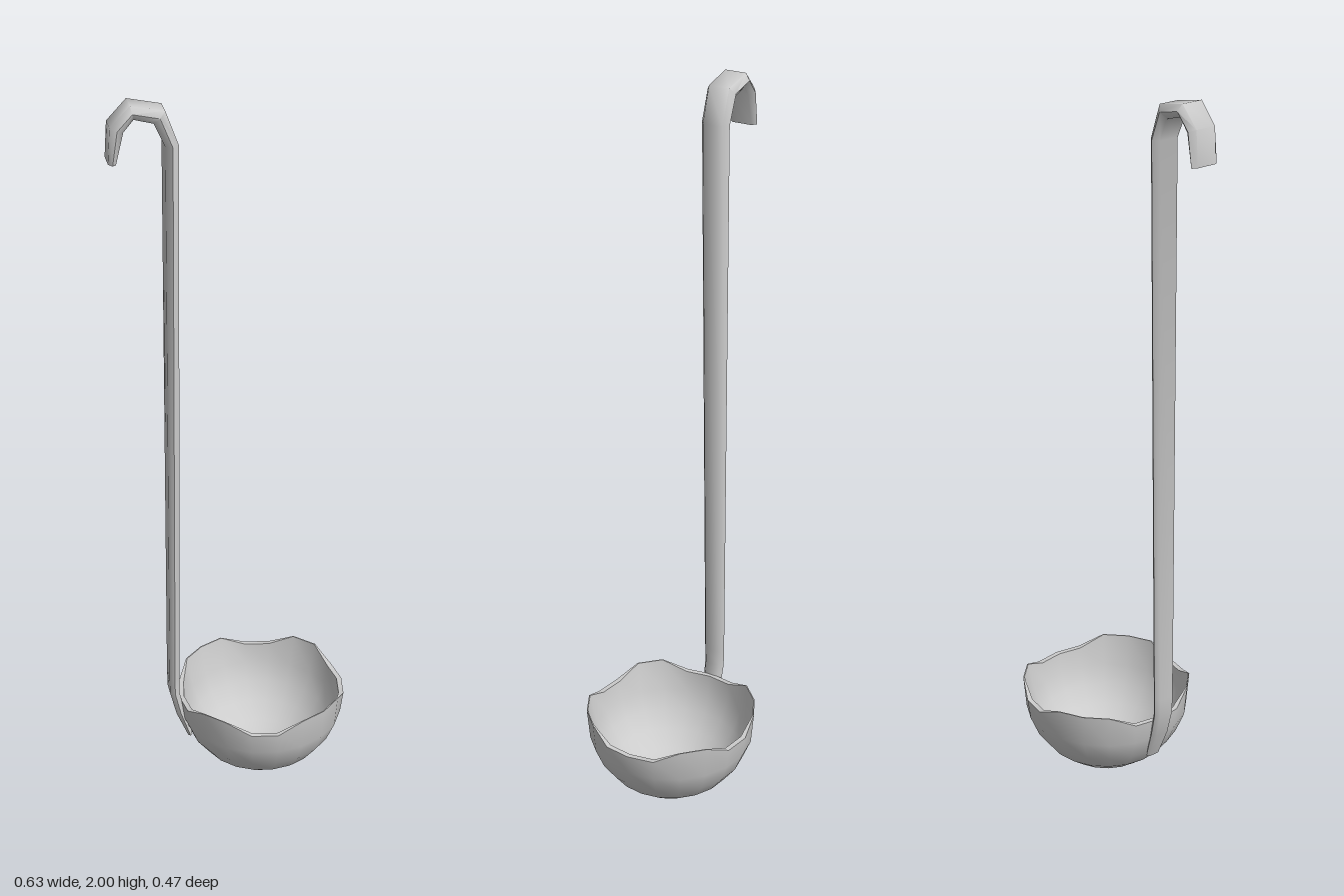
import * as THREE from 'three';
import { toCreasedNormals } from 'three/addons/utils/BufferGeometryUtils.js';

const material = new THREE.MeshStandardMaterial({ color: 0xcccccc });

// Thin double-walled hemisphere with a scalloped rim
function makeBowl() {
  const segments = 20, rings = 6, outer = 0.236, inner = 0.222, centreY = 0.239;
  const profile = [];
  const arc = (r, i) => {
    const a = (i / rings) * Math.PI / 2;
    return new THREE.Vector2(r * Math.sin(a), centreY - r * Math.cos(a));
  };
  for (let i = 0; i <= rings; i++) profile.push(arc(outer, i));
  for (let i = rings; i >= 0; i--) profile.push(arc(inner, i));
  const geometry = new THREE.LatheGeometry(profile, segments);

  // Raised rim points, repeated each half turn; there the walls pinch together
  const raised = [0, 1, 1, 1, 0, 0, 0, 1, 1, 0];
  const position = geometry.attributes.position;
  for (let s = 0; s <= segments; s++) {
    if (!raised[s % raised.length]) continue;
    const outerRim = s * profile.length + rings, innerRim = outerRim + 1;
    const pinch = (outer - 0.003) / inner;
    position.setY(outerRim, 0.27);
    position.setXYZ(innerRim, position.getX(innerRim) * pinch, 0.27, position.getZ(innerRim) * pinch);
  }
  const mesh = new THREE.Mesh(toCreasedNormals(geometry, 0.9), material);
  mesh.name = 'bowl';
  mesh.position.x = 0.08;
  return mesh;
}

// Flattened six-sided bar swept along a path in the xy plane
function sweepBar(stations) {
  const section = [[1, 0], [0.7, 1], [-0.7, 1], [-1, 0], [-0.7, -1], [0.7, -1]];
  const n = section.length, vertices = [], indices = [];
  stations.forEach(([x, y, width, thick], i) => {
    const a = stations[Math.max(i - 1, 0)];
    const b = stations[Math.min(i + 1, stations.length - 1)];
    const along = new THREE.Vector2(b[0] - a[0], b[1] - a[1]).normalize();
    for (const [w, t] of section) {
      vertices.push(x + along.y * t * thick, y - along.x * t * thick, w * width);
    }
    if (i === 0) return;
    for (let k = 0; k < n; k++) {
      const p = (i - 1) * n + k, q = (i - 1) * n + (k + 1) % n;
      indices.push(p, q, p + n, q, q + n, p + n);
    }
  });
  // End caps
  const last = (stations.length - 1) * n;
  for (let k = 1; k < n - 1; k++) {
    indices.push(0, k + 1, k, last, last + k, last + k + 1);
  }
  const geometry = new THREE.BufferGeometry();
  geometry.setAttribute('position', new THREE.Float32BufferAttribute(vertices, 3));
  geometry.setIndex(indices);
  return toCreasedNormals(geometry, 1.1);
}

export function createModel() {
  const ladle = new THREE.Group();
  ladle.name = 'ladle';
  ladle.add(makeBowl());

  // Shank with its foot on the bowl and a hook at the top: x, y, half width, half thickness
  const handle = new THREE.Mesh(sweepBar([
    [-0.128, 0.115, 0.022, 0.006],
    [-0.156, 0.2, 0.028, 0.012],
    [-0.172, 0.27, 0.03, 0.013],
    [-0.172, 0.32, 0.031, 0.014],
    [-0.157, 1.89, 0.04, 0.017],
    [-0.187, 1.966, 0.041, 0.021],
    [-0.255, 1.982, 0.043, 0.018],
    [-0.293, 1.94, 0.041, 0.018],
    [-0.306, 1.853, 0.04, 0.01],
  ]), material);
  handle.name = 'hookedHandle';
  ladle.add(handle);
  return ladle;
}
